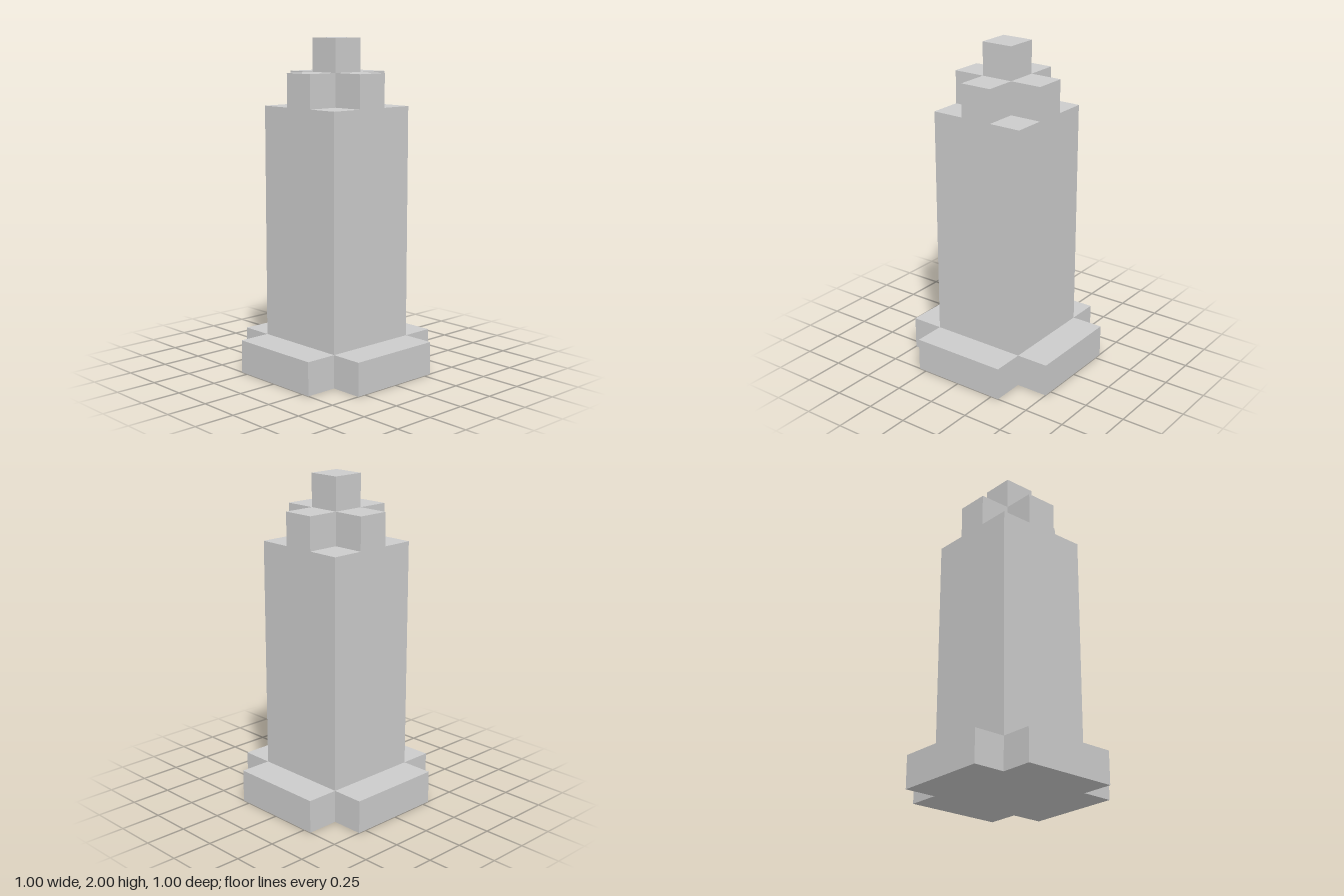
import * as THREE from 'three';

const material = new THREE.MeshStandardMaterial({ color: 0xcccccc, flatShading: true });

// Upright block standing on height y
function block(name, width, height, y) {
  const mesh = new THREE.Mesh(new THREE.BoxGeometry(width, height, width), material);
  mesh.name = name;
  mesh.position.y = y + height / 2;
  return mesh;
}

// Plus-shaped slab: arms reach out to `reach` and are 2 * `half` wide
function crossSlab(name, reach, half, height, y) {
  const points = [];
  for (let i = 0; i < 4; i++) {
    const corner = [[reach, -half], [reach, half], [half, half]];
    for (const [px, py] of corner) {
      points.push(new THREE.Vector2(px, py).rotateAround(new THREE.Vector2(), i * Math.PI / 2));
    }
  }
  const geometry = new THREE.ExtrudeGeometry(new THREE.Shape(points), { depth: height, bevelEnabled: false });
  geometry.rotateX(-Math.PI / 2);
  const mesh = new THREE.Mesh(geometry, material);
  mesh.name = name;
  mesh.position.y = y;
  return mesh;
}

export function createModel() {
  const tower = new THREE.Group();
  tower.name = 'tower';
  tower.add(
    crossSlab('base', 0.5, 0.3, 0.2, 0),
    block('shaft', 0.6, 1.4, 0.2),
    crossSlab('crown', 0.3, 0.1, 0.2, 1.6),
    block('finial', 0.2, 0.2, 1.8),
  );
  return tower;
}
